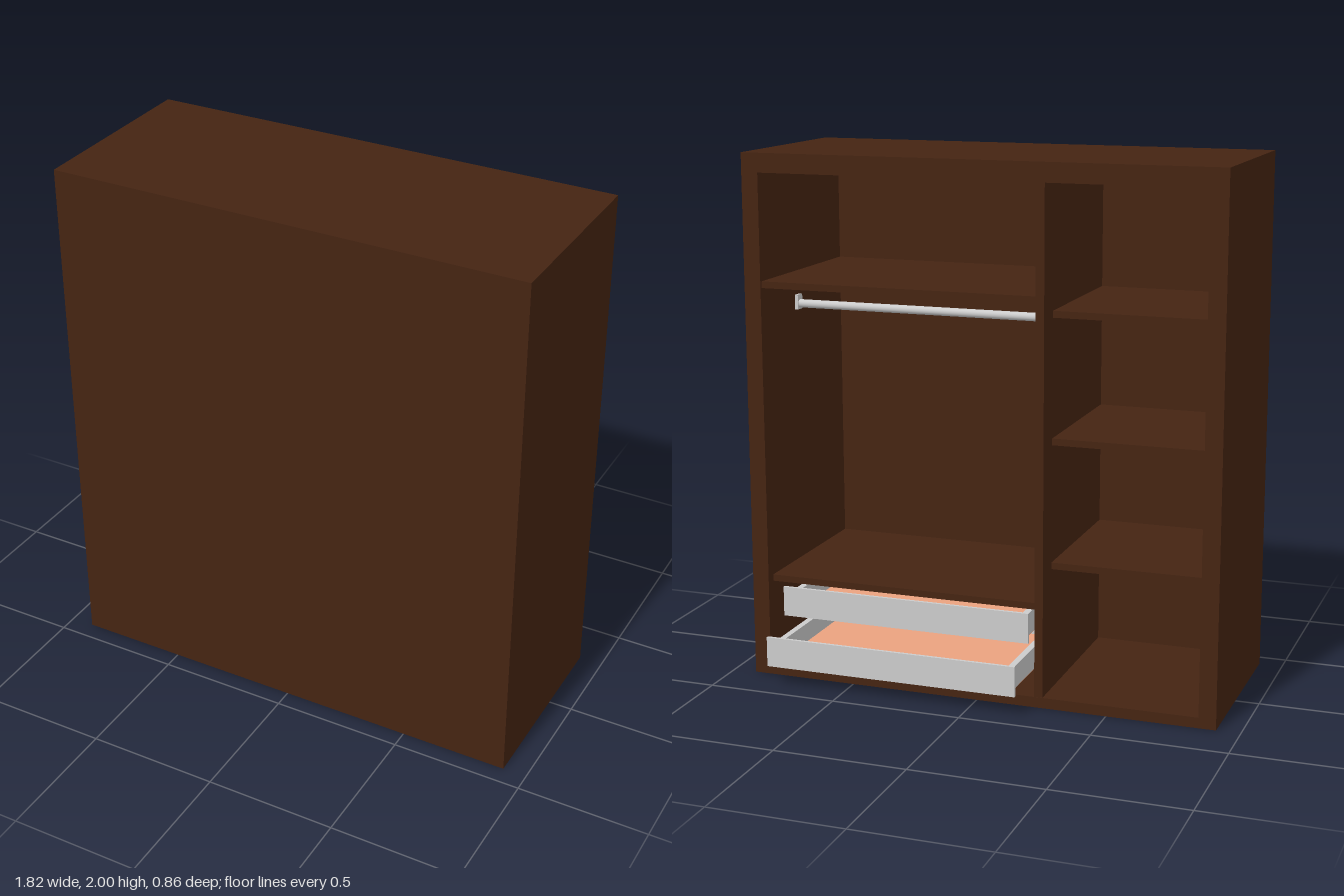
import * as THREE from 'three';

const wood = new THREE.MeshStandardMaterial({ color: 0x452412 });
const grey = new THREE.MeshStandardMaterial({ color: 0xcccccc });
const salmon = new THREE.MeshStandardMaterial({ color: 0xeba27f });

// Box given by its minimum and maximum along each axis
function box(parent, name, mat, [x0, x1], [y0, y1], [z0, z1]) {
  const mesh = new THREE.Mesh(new THREE.BoxGeometry(x1 - x0, y1 - y0, z1 - z0), mat);
  mesh.position.set((x0 + x1) / 2, (y0 + y1) / 2, (z0 + z1) / 2);
  mesh.name = name;
  parent.add(mesh);
  return mesh;
}

function rect(target, x0, y0, x1, y1) {
  return target.moveTo(x0, y0).lineTo(x1, y0).lineTo(x1, y1).lineTo(x0, y1).closePath();
}

// Open tray with an oversized face panel; z is the outside of the face
function drawer(name, y, z) {
  const g = new THREE.Group();
  g.name = name;
  const x0 = -0.17, x1 = 0.775, t = 0.024, depth = 0.65;
  const wallY = [y + 0.01, y + 0.095], run = [z + 0.012, z + depth];
  box(g, 'drawerFace', grey, [-0.19, 0.8], [y, y + 0.115], [z, z + 0.012]);
  box(g, 'drawerSide', grey, [x0, x0 + t], wallY, run);
  box(g, 'drawerSide', grey, [x1 - t, x1], wallY, run);
  box(g, 'drawerEnd', grey, [x0 + t, x1 - t], wallY, [z + depth - t, z + depth]);
  box(g, 'drawerBase', salmon, [x0 + 0.002, x1 - 0.002], [y + 0.006, y + 0.022], run);
  return g;
}

export function createModel() {
  const model = new THREE.Group();
  model.name = 'wardrobe';
  const inner = 0.845, zRear = -0.31, zPanel = 0.405;
  const divider = [-0.257, -0.225];

  // Outer shell: sides, top and floor in one frame
  const frame = rect(new THREE.Shape(), -0.91, 0, 0.91, 2);
  frame.holes.push(rect(new THREE.Path(), -inner, 0.04, inner, 1.928));
  const shell = new THREE.Mesh(
    new THREE.ExtrudeGeometry(frame, { depth: zPanel - zRear, bevelEnabled: false }), wood);
  shell.position.z = zRear;
  shell.name = 'shell';
  model.add(shell);
  box(model, 'closingPanel', wood, [-0.91, 0.91], [0, 2], [zPanel, 0.43]);
  box(model, 'divider', wood, divider, [0.04, 1.928], [zRear + 0.002, zPanel]);

  // Wide bay: hat shelf and the shelf over the drawers
  box(model, 'hatShelf', wood, [divider[1], inner], [1.502, 1.527], [-0.3, zPanel]);
  box(model, 'drawerShelf', wood, [divider[1], inner], [0.363, 0.388], [-0.27, zPanel]);

  // Narrow bay: three set-back shelves
  for (let i = 0; i < 3; i++) {
    const top = 0.53 + i * 0.467;
    box(model, 'narrowShelf', wood, [-inner, divider[0]], [top - 0.025, top], [-0.21, zPanel]);
  }

  // Hanging rail with an end socket on each wall
  const rail = new THREE.Group();
  rail.name = 'hangingRail';
  const rod = new THREE.Mesh(
    new THREE.CylinderGeometry(0.016, 0.016, inner - divider[1], 20), grey);
  rod.rotation.z = Math.PI / 2;
  rod.position.set((inner + divider[1]) / 2, 1.4, 0);
  rod.name = 'rod';
  rail.add(rod);
  for (const x of [divider[1], inner - 0.012]) {
    box(rail, 'railSocket', grey, [x, x + 0.012], [1.378, 1.435], [-0.02, 0.02]);
  }
  model.add(rail);

  // Two drawers, the lower one pulled out
  model.add(drawer('upperDrawer', 0.23, -0.275), drawer('lowerDrawer', 0.077, -0.43));
  return model;
}
